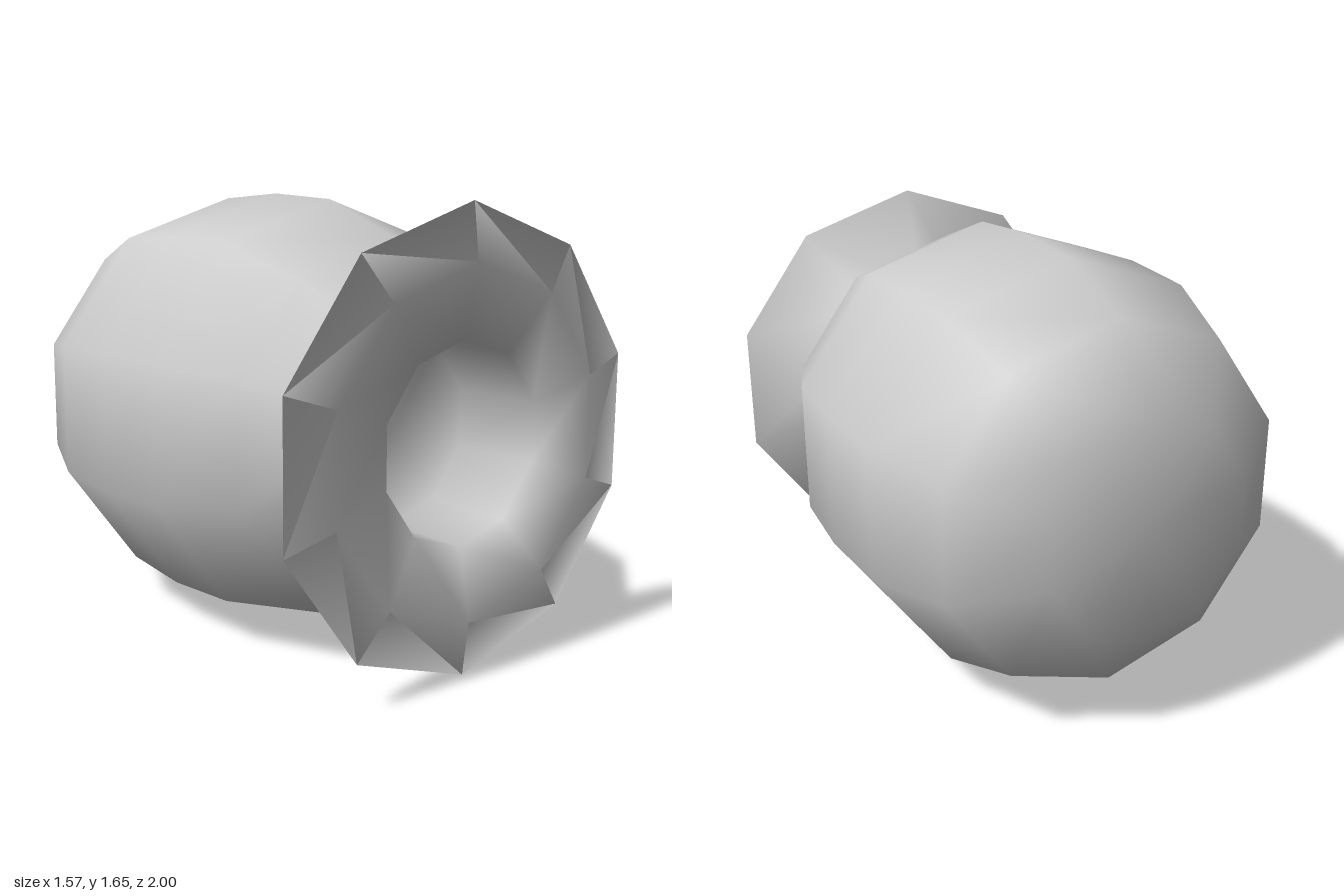
import * as THREE from 'three';

// Ten-sided smooth jar lying on its side, mouth towards +z.
const SIDES = 10;
const AXIS_HEIGHT = 0.83;

// Revolves [radius, z] pairs about the z axis.
function revolve(name, profile, material) {
  const points = profile.map(([r, z]) => new THREE.Vector2(r, z));
  const geometry = new THREE.LatheGeometry(points, SIDES);
  geometry.rotateX(Math.PI / 2);
  const mesh = new THREE.Mesh(geometry, material);
  mesh.name = name;
  mesh.position.y = AXIS_HEIGHT;
  return mesh;
}

export function createModel() {
  const group = new THREE.Group();
  group.name = 'jar';
  const material = new THREE.MeshStandardMaterial({ color: 0xcccccc });

  group.add(revolve('jarShell', [
    // flat base and rounded belly
    [0, -1], [0.395, -1], [0.68, -0.78], [0.805, -0.44],
    [0.825, -0.1], [0.805, 0.23], [0.68, 0.58],
    // pinched neck and flared lip
    [0.395, 0.86], [0.805, 0.975], [0.61, 1],
    // mouth and inside
    [0.355, 0.95], [0.355, 0.6], [0, 0.6],
  ], material));

  return group;
}
